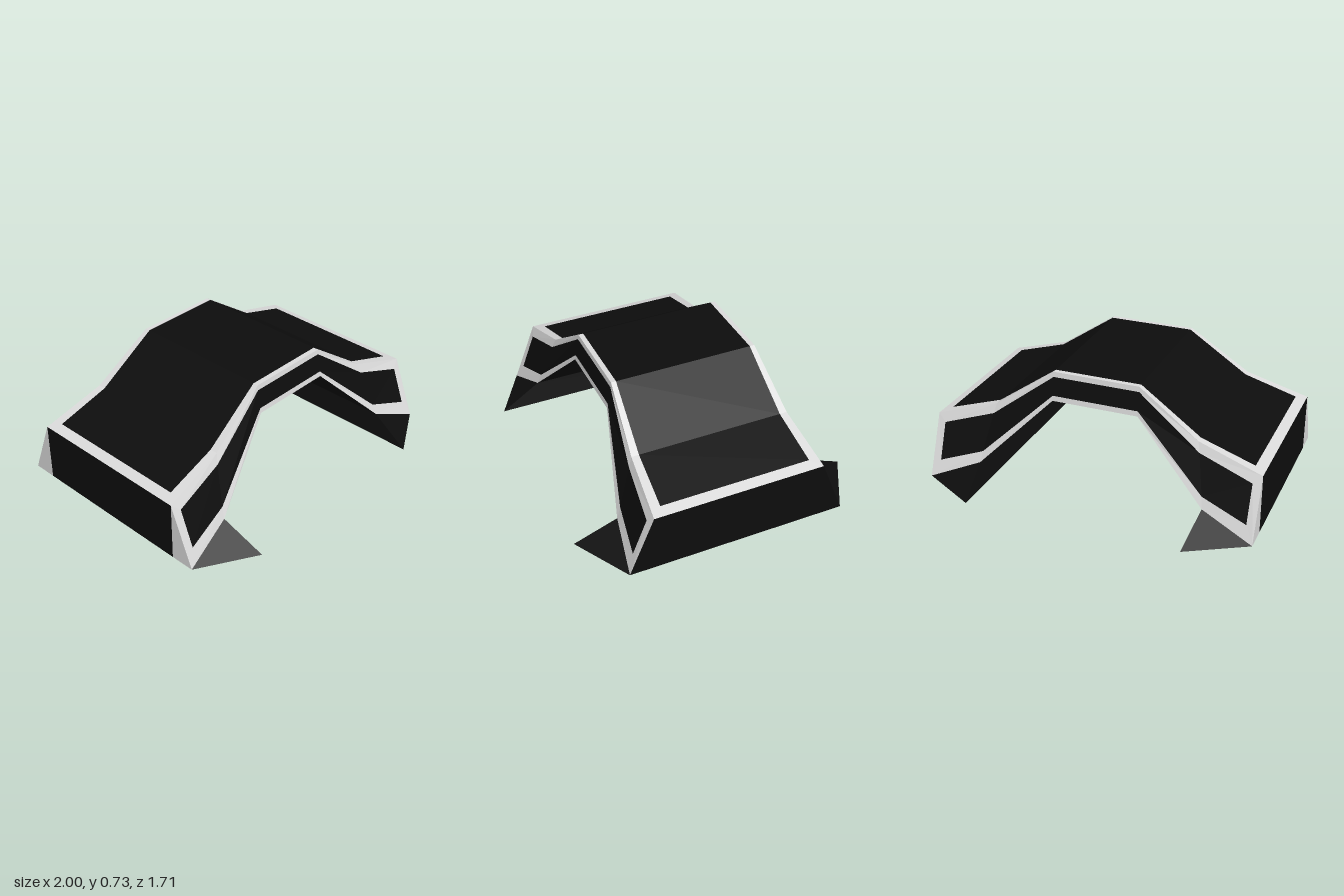
import * as THREE from 'three';

const black = new THREE.MeshStandardMaterial({ color: 0x0d0d0d });
black.name = 'matte black';
const grey = new THREE.MeshStandardMaterial({ color: 0xdadada });
grey.name = 'light grey';

// Half-arch stations from the end (+x) to the crown, on the +z side
const TOP = [[1, 0.36, 0.515], [0.62, 0.48, 0.483], [0.26, 0.73, 0.45]];
const BOTTOM = [[1, 0, 0.66], [0.69, 0.13, 0.605], [0.26, 0.56, 0.48]];
const SIDE_UPPER = [[0.95, 0.315, 0.537], [0.635, 0.42, 0.504], [0.26, 0.7, 0.455]];
const SIDE_LOWER = [[0.95, 0.1, 0.62], [0.68, 0.195, 0.581], [0.26, 0.59, 0.475]];
const DECK_EDGE = [[0.94, 0.379, 0.453], [0.62, 0.48, 0.438], [0.26, 0.73, 0.42]];

const flipX = ([x, y, z]) => [-x, y, z];
const flipZ = ([x, y, z]) => [x, y, -z];
// Full line from -x to +x
const span = (half) => [...half.map(flipX), ...[...half].reverse()];
// Mirrored polygons keep facing outwards by reversing their corner order
const mirror = (polys, flip) => polys.map((p) => p.map(flip).reverse());

// Quads between two lines of equal length
const strip = (a, b) =>
  a.slice(1).map((p, i) => [a[i], p, b[i + 1], b[i]]);

// Frame between an outer and an inner closed loop
const frame = (outer, inner) => strip([...outer, outer[0]], [...inner, inner[0]]);

const loop = (near, far) => [...near, ...[...far].reverse()];

// Flat-faced mesh from convex polygons
function addMesh(group, name, polys, material) {
  const pos = [];
  for (const p of polys) {
    for (let i = 1; i < p.length - 1; i++) pos.push(...p[0], ...p[i], ...p[i + 1]);
  }
  const geo = new THREE.BufferGeometry();
  geo.setAttribute('position', new THREE.Float32BufferAttribute(pos, 3));
  geo.computeVertexNormals();
  const mesh = new THREE.Mesh(geo, material);
  mesh.name = name;
  group.add(mesh);
}

export function createModel() {
  const group = new THREE.Group();
  group.name = 'archBridge';
  const top = span(TOP);
  const bottom = span(BOTTOM);

  // Side walls: grey frame around a black panel
  const sideFrame = frame(loop(bottom, top), loop(span(SIDE_LOWER), span(SIDE_UPPER)));
  const sidePanel = strip(span(SIDE_LOWER), span(SIDE_UPPER));
  addMesh(group, 'frontFrame', sideFrame, grey);
  addMesh(group, 'frontPanel', sidePanel, black);
  addMesh(group, 'backFrame', mirror(sideFrame, flipZ), grey);
  addMesh(group, 'backPanel', mirror(sidePanel, flipZ), black);

  // Deck: grey frame around a black walkway
  const edge = span(DECK_EDGE);
  const deckFrame = frame(loop(top, top.map(flipZ)), loop(edge, edge.map(flipZ)));
  addMesh(group, 'deckFrame', deckFrame, grey);
  addMesh(group, 'deckWalkway', strip(edge, edge.map(flipZ)), black);

  // Underside of the arch between the feet
  const under = bottom.slice(1, 5);
  addMesh(group, 'underside', strip(under.map(flipZ), under), black);

  // Wedge feet: two flanks, sole and inner wall
  const heel = BOTTOM[0];
  const toe = [0.655, 0, 0.855];
  const knee = BOTTOM[1];
  const flank = [[toe, heel, knee]];
  const foot = [
    ...flank,
    ...mirror(flank, flipZ),
    [heel, toe, flipZ(toe), flipZ(heel)],
    [toe, knee, flipZ(knee), flipZ(toe)],
  ];
  addMesh(group, 'leftFoot', foot, black);
  addMesh(group, 'rightFoot', mirror(foot, flipX), black);

  // End walls: the left is all black, the right has grey corner wedges
  const rim = TOP[0];
  const base = [rim[0], 0, rim[2]];
  const endCentre = [[base, flipZ(base), flipZ(rim), rim]];
  const wedge = [[heel, base, rim]];
  const wedges = [...wedge, ...mirror(wedge, flipZ)];
  addMesh(group, 'leftEnd', [...endCentre, ...wedges], black);
  addMesh(group, 'rightEnd', mirror(endCentre, flipX), black);
  addMesh(group, 'rightEndCorners', mirror(wedges, flipX), grey);

  return group;
}
